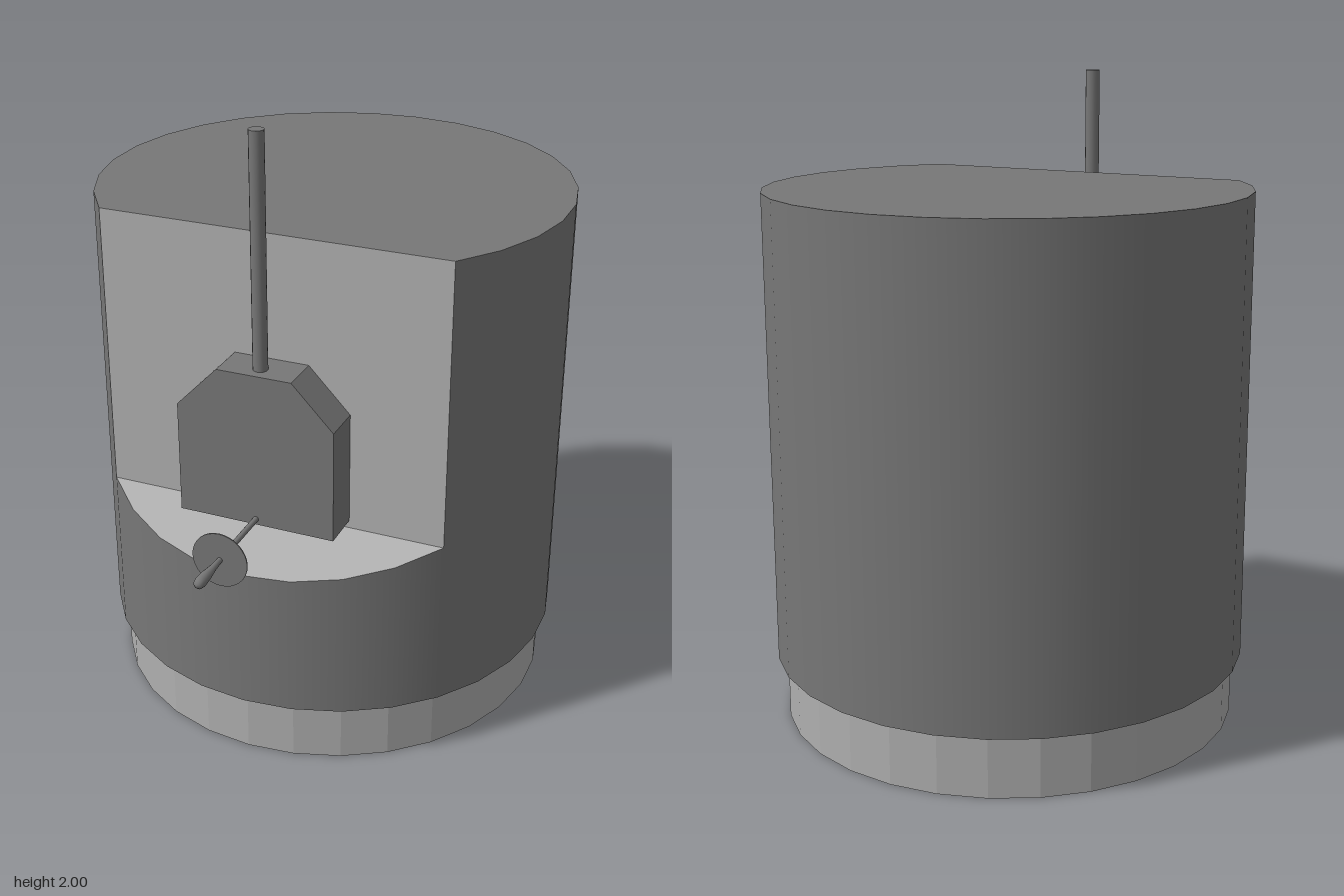
import * as THREE from 'three';
import { mergeGeometries } from 'three/addons/utils/BufferGeometryUtils.js';

const R = 0.75, CZ = -0.14, SIDES = 30, STEP = (Math.PI * 2) / SIDES;
const BOTTOM = 0.198, TOP = 1.67, CUT = 4; // the front is cut away across 4 sides either way
const CUT_X = R * Math.sin(CUT * STEP), CUT_Z = R * Math.cos(CUT * STEP);
const LEDGE_BACK = 0.75, LEDGE_FRONT = 0.662;

// Height of the sloping ledge, with z measured from the drum's axis
const ledgeY = (z) => LEDGE_BACK + ((LEDGE_FRONT - LEDGE_BACK) * (z - CUT_Z)) / (R - CUT_Z);

// Open wall between two side numbers (0 faces the front)
function wall(from, to, top) {
  const g = new THREE.CylinderGeometry(R, R, top - BOTTOM, to - from, 1, true, from * STEP, (to - from) * STEP);
  return g.translate(0, (top + BOTTOM) / 2, 0);
}

// Flat upward-facing cap bounded by an arc and its chord
function arcCap(from, to) {
  const points = [];
  for (let i = from; i <= to; i++) points.push(new THREE.Vector2(R * Math.sin(i * STEP), -R * Math.cos(i * STEP)));
  return new THREE.ShapeGeometry(new THREE.Shape(points)).rotateX(-Math.PI / 2);
}

// Outer walls, roof and underside of the drum
function shellGeometry() {
  const frontWall = wall(-CUT, CUT, LEDGE_BACK);
  const p = frontWall.attributes.position;
  for (let i = 0; i < p.count; i++) if (p.getY(i) > BOTTOM + 0.1) p.setY(i, ledgeY(p.getZ(i)));

  const roof = arcCap(CUT, SIDES - CUT).translate(0, TOP, 0);
  const floor = new THREE.CircleGeometry(R, SIDES).rotateZ(Math.PI / 2).rotateX(Math.PI / 2).translate(0, BOTTOM, 0);
  return mergeGeometries([wall(CUT, SIDES - CUT, TOP), frontWall, roof, floor]);
}

// Upright face and sloping ledge left by the cut
function recessGeometry() {
  const ledge = arcCap(-CUT, CUT);
  const q = ledge.attributes.position;
  for (let i = 0; i < q.count; i++) q.setY(i, ledgeY(q.getZ(i)));
  ledge.computeVertexNormals();

  const face = new THREE.PlaneGeometry(CUT_X * 2, TOP - LEDGE_BACK).translate(0, (TOP + LEDGE_BACK) / 2, CUT_Z);
  return mergeGeometries([ledge, face]);
}

export function createModel() {
  const group = new THREE.Group();
  const dark = new THREE.MeshStandardMaterial({ color: 0x777777 });
  const darkFlat = new THREE.MeshStandardMaterial({ color: 0x777777, flatShading: true });
  const lightFlat = new THREE.MeshStandardMaterial({ color: 0xafafaf, flatShading: true });

  function add(name, geometry, material, x, y, z) {
    const mesh = new THREE.Mesh(geometry, material);
    mesh.name = name;
    mesh.position.set(x, y, z);
    group.add(mesh);
  }

  // Dark drum with a lighter recess, on a slightly narrower light foot
  add('drumShell', shellGeometry(), dark, 0, 0, CZ);
  add('drumRecess', recessGeometry(), lightFlat, 0, 0, CZ);
  add('foot', new THREE.CylinderGeometry(0.72, 0.72, BOTTOM, SIDES), lightFlat, 0, BOTTOM / 2, CZ);

  // Tap block with chamfered shoulders, and the mounting strip beneath it
  const outline = [[-0.253, 0.775], [0.253, 0.775], [0.253, 1.137], [0.12, 1.275], [-0.12, 1.275], [-0.253, 1.137]];
  const block = new THREE.Shape(outline.map(([x, y]) => new THREE.Vector2(x, y)));
  add('tapBlock', new THREE.ExtrudeGeometry(block, { depth: 0.132, bevelEnabled: false }), darkFlat, 0, 0, 0.36);
  add('mountingStrip', new THREE.BoxGeometry(0.44, 0.04, 0.02), darkFlat, 0, 0.765, 0.356);

  // Upright rod
  add('uprightRod', new THREE.CylinderGeometry(0.023, 0.023, 0.74, 16), dark, 0, 1.63, 0.44);

  // Lever: stem, round guard and swelling grip, all along z
  const LEVER_Y = 0.794;
  add('leverStem', new THREE.CylinderGeometry(0.009, 0.009, 0.32, 12).rotateX(Math.PI / 2), dark, 0, LEVER_Y, 0.62);
  add('leverGuard', new THREE.CylinderGeometry(0.088, 0.088, 0.004, 32).rotateX(Math.PI / 2), dark, 0, LEVER_Y, 0.741);
  const grip = [[0, 0.745], [0.009, 0.75], [0.011, 0.79], [0.016, 0.83], [0.018, 0.865], [0.015, 0.882], [0.008, 0.889], [0, 0.89]];
  const gripProfile = grip.map(([r, z]) => new THREE.Vector2(r, z));
  add('leverGrip', new THREE.LatheGeometry(gripProfile, 16).rotateX(Math.PI / 2), dark, 0, LEVER_Y, 0);

  return group;
}
